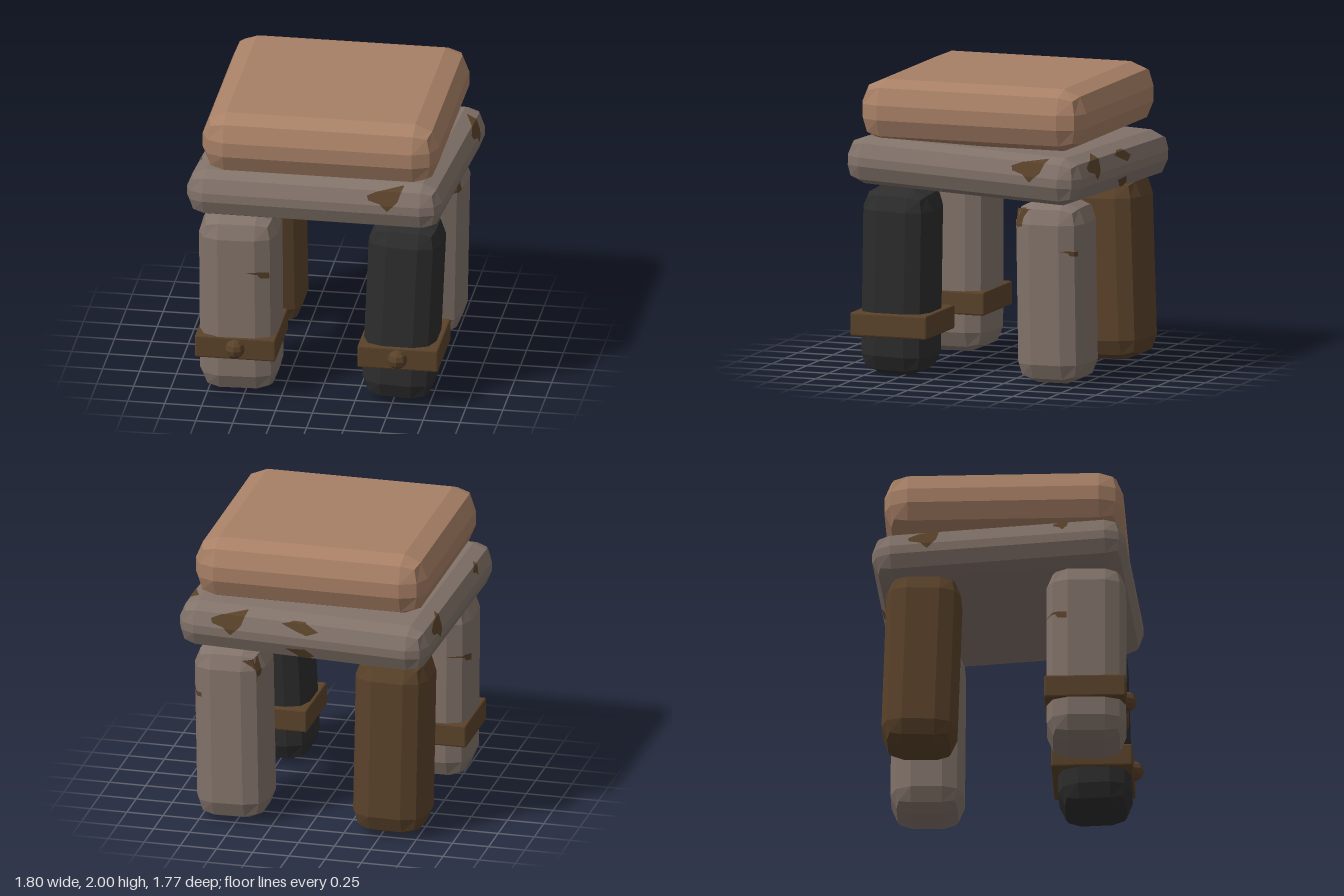
import * as THREE from 'three';
import { mergeGeometries } from 'three/addons/utils/BufferGeometryUtils.js';
import { RoundedBoxGeometry } from 'three/addons/geometries/RoundedBoxGeometry.js';

const mat = (name, color) => {
  const m = new THREE.MeshStandardMaterial({ color, flatShading: true });
  m.name = name;
  return m;
};

// Keep the part of a polygon where sign * (p[axis] - limit) >= 0
function clip(poly, axis, limit, sign) {
  const out = [];
  poly.forEach((a, i) => {
    const b = poly[(i + 1) % poly.length];
    const da = sign * (a[axis] - limit), db = sign * (b[axis] - limit);
    if (da >= 0) out.push(a);
    if (da * db < 0) {
      const t = da / (da - db);
      out.push([a[0] + (b[0] - a[0]) * t, a[1] + (b[1] - a[1]) * t]);
    }
  });
  return out;
}

// Depth lost to the two-facet bevel at distance t from the middle of a face
function drop(t, half, r) {
  const d = Math.min(Math.abs(t), half) - (half - r), k = 0.2929 * r;
  if (d <= 0) return 0;
  return d < r - k ? k * d / (r - k) : k + (r - k) * (d - r + k) / k;
}

// Thin stain that follows a bevelled block; angle turns it to one of four sides
function stain(block, angle, poly, material) {
  const { size, r } = block.userData;
  const side = Math.abs(Math.sin(angle)) > 0.5;
  const half = [(side ? size[2] : size[0]) / 2, size[1] / 2];
  const depth = (side ? size[0] : size[2]) / 2 + 0.004;
  let pieces = [poly];
  for (const axis of [0, 1]) {
    const h = half[axis], a = h - r, b = h - 0.2929 * r;
    const cuts = [-h, -b, -a, a, b, h];
    pieces = pieces.flatMap(p => cuts.slice(1).map((hi, i) =>
      clip(clip(p, axis, cuts[i], 1), axis, hi, -1)).filter(q => q.length > 2));
  }
  const geos = pieces.map(p => {
    const g = new THREE.ShapeGeometry(new THREE.Shape(p.map(q => new THREE.Vector2(...q))));
    const pos = g.attributes.position;
    for (let i = 0; i < pos.count; i++)
      pos.setZ(i, depth - drop(pos.getX(i), half[0], r) - drop(pos.getY(i), half[1], r));
    return g;
  });
  if (!geos.length) return;
  const mesh = new THREE.Mesh(mergeGeometries(geos), material);
  mesh.name = 'stain';
  mesh.rotation.y = angle;
  block.add(mesh);
}

export function createModel() {
  const model = new THREE.Group();
  model.name = 'stool';
  const tan = mat('tan cushion', 0xa88066);
  const stone = mat('grey stone', 0x82736a);
  const black = mat('black stone', 0x2d2d2d);
  const brown = mat('brown', 0x5a422a);

  // Bevelled block with two facets along each edge
  function block(name, size, r, position, rotation, material) {
    const g = new THREE.Group();
    g.name = name;
    g.userData = { size, r };
    const mesh = new THREE.Mesh(new RoundedBoxGeometry(...size, 1, r), material);
    mesh.name = name + 'Body';
    g.add(mesh);
    g.position.set(...position);
    g.rotation.set(...rotation);
    model.add(g);
    return g;
  }

  // Cushion and the crooked slab under it
  block('cushion', [1.6, 0.42, 1.6], 0.16, [0, 1.79, 0], [0, 0, 0], tan);
  const slab = block('slab', [1.74, 0.32, 1.7], 0.13, [0, 1.415, 0], [-0.043, -0.042, 0.012], stone);

  // Four slightly leaning legs
  const frontRight = block('frontRightLeg', [0.53, 1.27, 0.53], 0.14, [-0.553, 0.645, 0.55], [0, 0.03, 0.008], stone);
  block('frontLeftLeg', [0.49, 1.27, 0.49], 0.14, [0.55, 0.643, 0.55], [-0.03, 0, -0.04], black);
  const backLeft = block('backLeftLeg', [0.49, 1.23, 0.49], 0.14, [0.55, 0.625, -0.555], [0.008, 0, -0.02], stone);
  block('backRightLeg', [0.5, 1.24, 0.5], 0.14, [-0.55, 0.63, -0.552], [0.035, 0, 0.01], brown);

  // Straps with studs round the front legs
  for (const x of [-0.553, 0.548]) {
    block('strap', [0.546, 0.16, 0.546], 0.012, [x, 0.355, 0.549], [0, 0, 0], brown);
    const stud = new THREE.Mesh(new THREE.SphereGeometry(0.067, 8, 6), brown);
    stud.name = 'stud';
    stud.position.set(x, 0.355, 0.822);
    model.add(stud);
  }

  // Stains on the slab
  const R = Math.PI / 2;
  const blot = [[-0.12, 0.08], [-0.05, 0.11], [0.12, 0.14], [0.09, 0.05], [0.02, -0.02], [-0.03, 0.03], [-0.11, 0.05]];
  const shift = (poly, u, v, s = 1) => poly.map(p => [p[0] * s + u, p[1] * s + v]);
  stain(slab, 0, shift(blot, 0.5, 0.01), brown);
  stain(slab, R, shift(blot, 0.5, 0.01), brown);
  stain(slab, 2 * R, shift(blot, -0.5, 0.01), brown);
  stain(slab, 2 * R, [[-0.13, 0.11], [-0.05, 0.13], [0.03, 0.13], [0.13, 0.08], [0.05, 0.05], [-0.02, 0.07]], brown);
  stain(slab, 2 * R, [[-0.1, -0.06], [0.04, -0.05], [0.1, -0.1], [0.02, -0.14], [-0.03, -0.1]], brown);
  stain(slab, -R, shift(blot, -0.49, 0.01, 0.9), brown);
  stain(slab, -R, shift(blot, 0.43, 0.07, 0.45), brown);

  // Stains on the legs
  const smear = [[-0.08, 0.015], [0, 0.02], [0.07, 0.01], [0.07, -0.035], [0.01, -0.025], [-0.005, 0]];
  stain(frontRight, 0, shift(smear, 0.15, 0.25), brown);
  stain(frontRight, -R, shift(smear, -0.2, 0.25), brown);
  stain(backLeft, R, shift(smear, 0.17, 0.29, 0.7), brown);
  const drip = [[-0.05, 0.05], [0.04, 0.06], [0.03, 0], [0.02, -0.06], [-0.02, -0.07], [-0.03, 0]];
  stain(backLeft, R, shift(drip, -0.18, 0.52), brown);
  stain(backLeft, -R, shift(drip, -0.18, 0.5), brown);
  stain(backLeft, 0, shift(drip, 0.19, 0.52), brown);
  return model;
}
